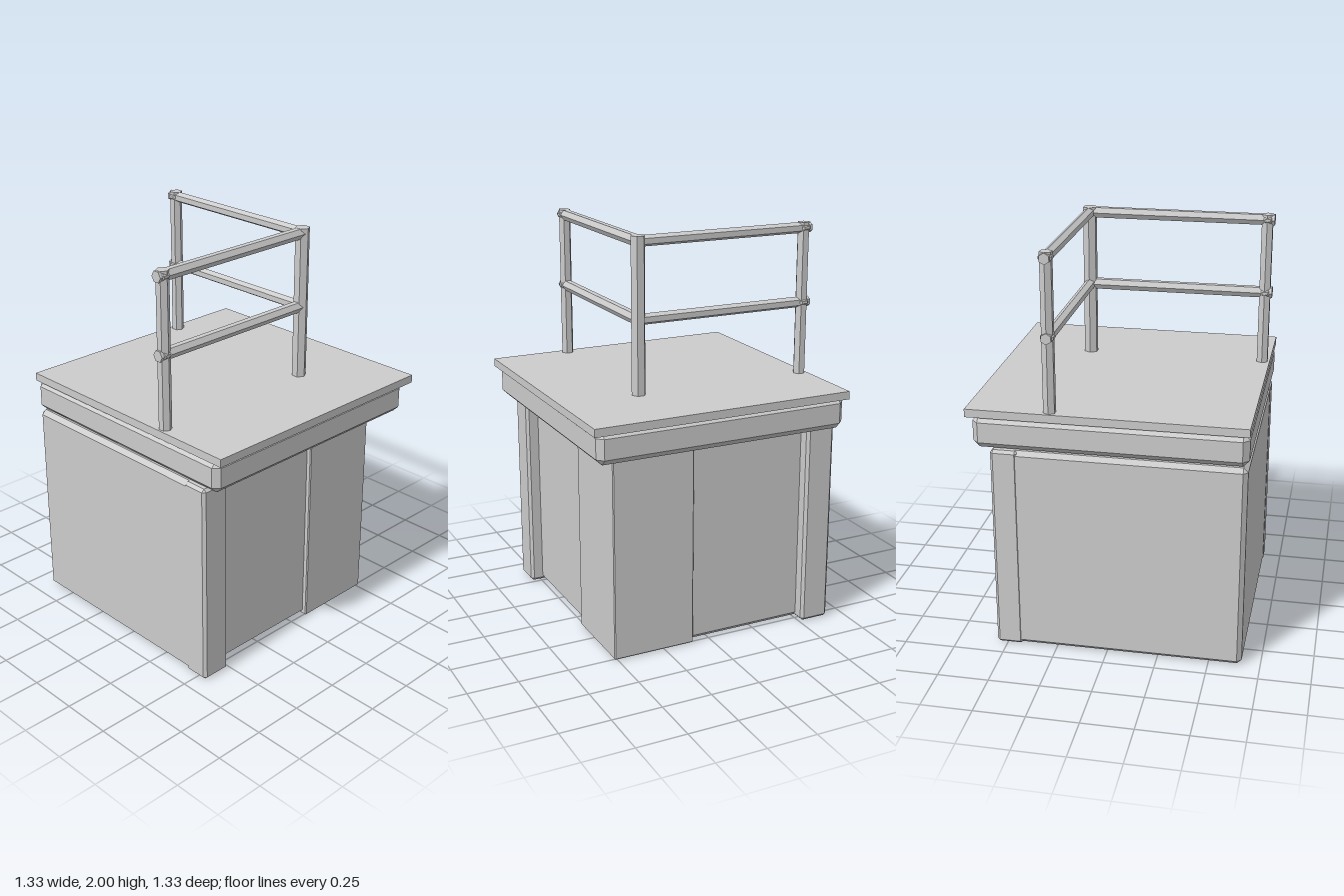
import * as THREE from 'three';
import { ConvexGeometry } from 'three/addons/geometries/ConvexGeometry.js';

const stone = new THREE.MeshStandardMaterial({ color: 0xcccccc, flatShading: true });
stone.name = 'plain grey';

// Box between two corners, all edges chamfered by c
function chamferBox(min, max, c) {
  const points = [];
  const ends = [min, max];
  for (let i = 0; i < 8; i++) {
    const side = [i & 1, (i >> 1) & 1, (i >> 2) & 1];
    for (let axis = 0; axis < 3; axis++) {
      // On each corner, one axis reaches the full size and the others step in
      const p = side.map((s, k) => ends[s][k] + (k === axis ? 0 : s ? -c : c));
      points.push(new THREE.Vector3(...p));
    }
  }
  return new ConvexGeometry(points);
}

export function createModel() {
  const model = new THREE.Group();
  const add = (name, geometry) => {
    const mesh = new THREE.Mesh(geometry, stone);
    mesh.name = name;
    model.add(mesh);
    return mesh;
  };

  // Main block and the corner pier standing slightly proud of it
  add('body', chamferBox([-0.66, 0.008, -0.66], [0.49, 1.04, 0.49], 0.022));
  add('cornerPier', chamferBox([0.093, 0.008, 0.093], [0.515, 1.05, 0.515], 0.005));

  // One pilaster at the far end of each open side
  add('frontPilaster', chamferBox([-0.662, 0.005, 0.42], [-0.51, 1.04, 0.553], 0.014));
  add('sidePilaster', chamferBox([0.42, 0.005, -0.662], [0.553, 1.04, -0.51], 0.014));

  // Cornice and flat deck
  add('cornice', chamferBox([-0.664, 1.045, -0.664], [0.636, 1.205, 0.636], 0.03));
  add('deck', new THREE.BoxGeometry(1.33, 0.04, 1.33)).position.set(0, 1.22, 0);

  // Six-sided railing posts
  const r = 0.265, far = -0.627;
  for (const [name, x, z, radius] of [
    ['cornerPost', r, r, 0.036],
    ['frontPost', far, r, 0.031],
    ['sidePost', r, far, 0.031],
  ]) {
    add(name, new THREE.CylinderGeometry(radius, radius, 0.77, 6)).position.set(x, 1.615, z);
  }

  // Two six-sided rails on each open side, running past the end posts
  const length = r + 0.664, middle = (r - 0.664) / 2;
  for (const [name, y] of [['topRail', 1.974], ['midRail', 1.605]]) {
    const frontRail = new THREE.CylinderGeometry(0.029, 0.029, length, 6).rotateZ(Math.PI / 2);
    add(name + 'Front', frontRail).position.set(middle, y, r);
    const sideRail = new THREE.CylinderGeometry(0.027, 0.027, length, 6).rotateX(Math.PI / 2);
    add(name + 'Side', sideRail).position.set(r, y - 0.001, middle);

    // Small collars where the rails cross the end posts
    add(name + 'FrontCollar', chamferBox([-0.664, y - 0.026, r - 0.032], [-0.595, y + 0.026, r + 0.032], 0.02));
    add(name + 'SideCollar', chamferBox([r - 0.032, y - 0.026, -0.664], [r + 0.032, y + 0.026, -0.595], 0.02));
  }
  return model;
}
